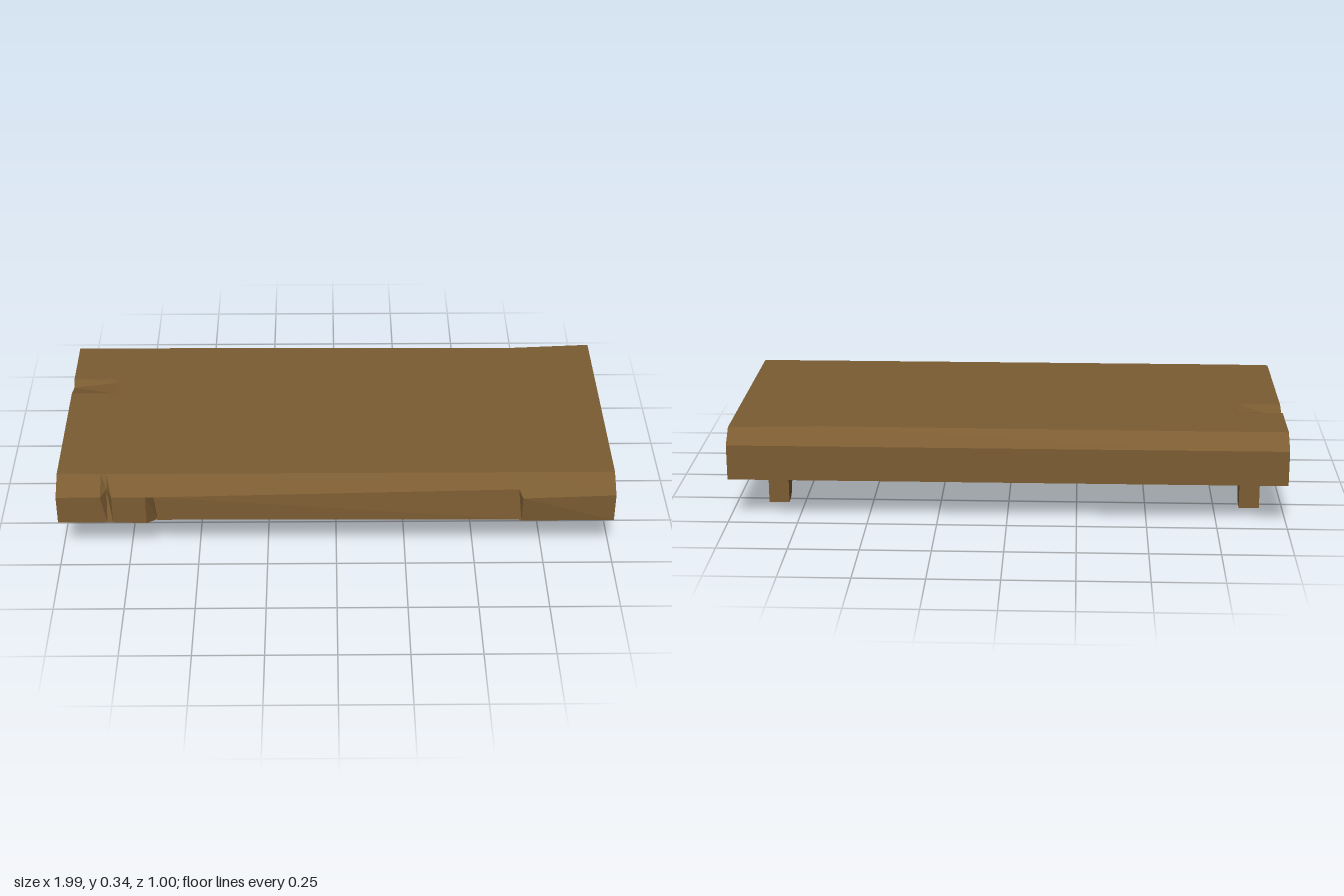
import * as THREE from 'three';

const BASE = 0.162, TOP = 0.34;

// One cross-section of the plank, as [z, y] from back bottom over the top to front bottom.
// back/front: top edges of the chamfers; upper/lower: front face corners; dent: depth of the split
function section({ x, back = -0.43, front = 0.41, upper = [0.483, 0.29], lower = [0.483, 0.18], dent = 0 }) {
  return [
    [-0.498, BASE], [-0.498, 0.29], [back, TOP],
    [-0.21, TOP], [-0.19, TOP - dent], [-0.11, TOP],
    [front, TOP], upper, lower, [0.445, BASE],
  ].map(([z, y]) => [x, y, z]);
}

// Skin a row of cross-sections and close both ends
function loft(rows) {
  const n = rows[0].length, pos = [];
  const tri = (a, b, c) => pos.push(...a, ...b, ...c);
  for (let i = 0; i < rows.length - 1; i++) {
    for (let j = 0; j < n; j++) {
      const k = (j + 1) % n, p = rows[i], q = rows[i + 1];
      tri(p[j], p[k], q[k]);
      tri(p[j], q[k], q[j]);
    }
  }
  const first = rows[0], last = rows[rows.length - 1];
  for (let j = 1; j < n - 1; j++) {
    tri(first[0], first[j + 1], first[j]);
    tri(last[0], last[j], last[j + 1]);
  }
  const geo = new THREE.BufferGeometry();
  geo.setAttribute('position', new THREE.Float32BufferAttribute(pos, 3));
  geo.computeVertexNormals();
  return geo;
}

export function createModel() {
  const group = new THREE.Group();
  const wood = new THREE.MeshStandardMaterial({ color: 0x7b5c32, flatShading: true });
  wood.name = 'brown wood';

  // Plank: chamfered, with a split on the left end, two nicks and a chipped front edge
  const plank = new THREE.Mesh(loft([
    { x: -0.997, front: 0.405, dent: 0.025 },
    { x: -0.84, dent: 0.005 },
    { x: -0.82, upper: [0.44, 0.295] },
    { x: -0.8 },
    { x: -0.68, lower: [0.483, 0.175] },
    { x: -0.65, lower: [0.445, 0.185] },
    { x: -0.64, lower: [0.483, 0.19] },
    { x: 0.65, back: -0.42, upper: [0.465, 0.304], lower: [0.48, 0.182] },
    { x: 0.663, back: -0.42, upper: [0.498, 0.288], lower: [0.485, 0.18] },
    { x: 0.995, back: -0.442, upper: [0.485, 0.29] },
  ].map(section)), wood);
  plank.name = 'plank';
  group.add(plank);

  // Brackets: a long arm with a curved foot at the back
  const outline = [
    [0.23, BASE + 0.002], [0.212, 0.126], [0.17, 0.093], [0.107, 0.075], [-0.17, 0.075],
    [-0.193, 0.068], [-0.21, 0.05], [-0.222, 0.02], [-0.238, 0.008], [-0.262, 0.002],
    [-0.291, 0], [-0.291, BASE + 0.002],
  ].map(([z, y]) => new THREE.Vector2(z, y));
  const bracketGeo = new THREE.ExtrudeGeometry(new THREE.Shape(outline), { depth: 0.074, bevelEnabled: false });
  bracketGeo.translate(0, 0, -0.037).rotateY(-Math.PI / 2);
  for (const [name, x] of [['rightBracket', -0.88], ['leftBracket', 0.846]]) {
    const bracket = new THREE.Mesh(bracketGeo, wood);
    bracket.name = name;
    bracket.position.x = x;
    group.add(bracket);
  }
  return group;
}
